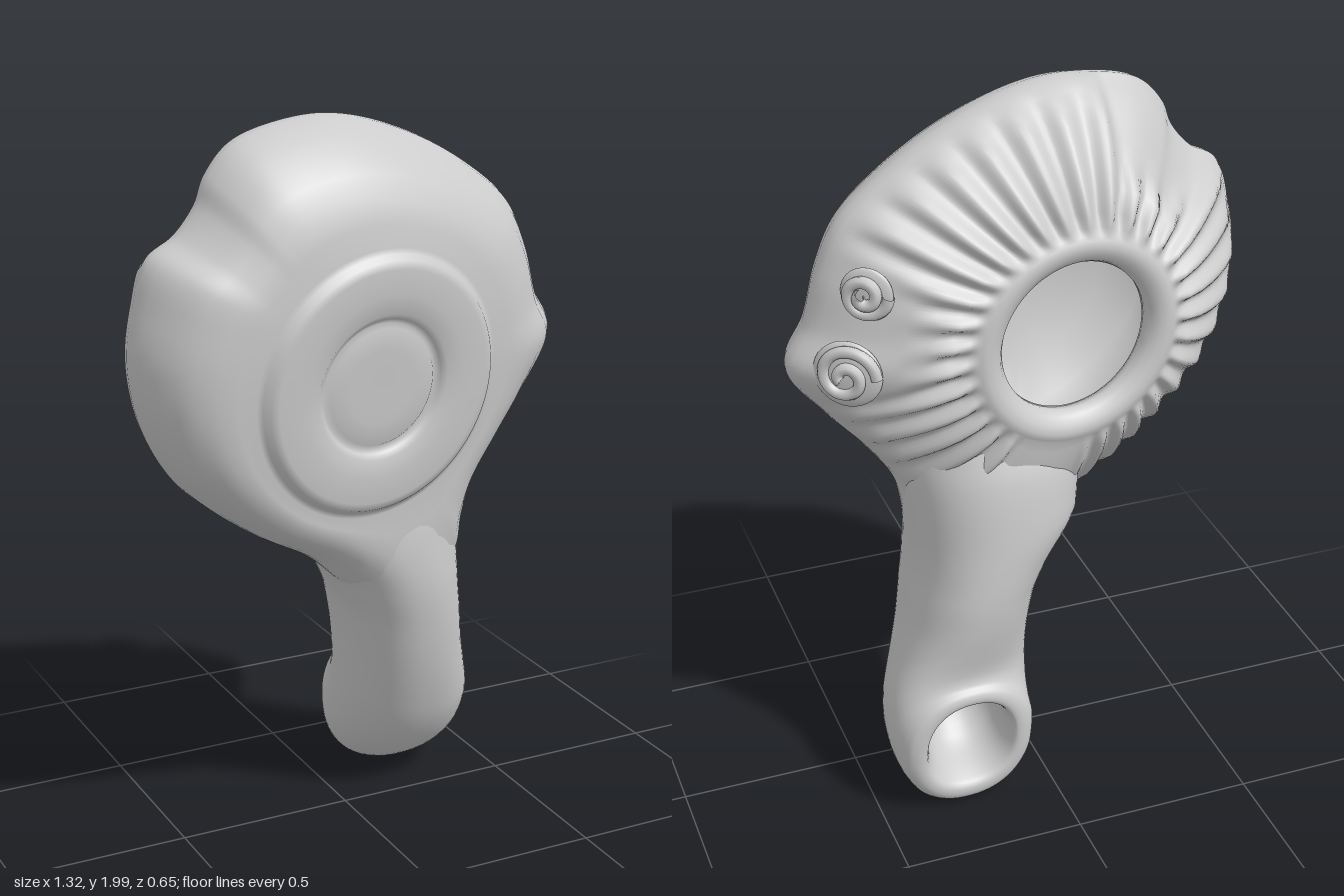
import * as THREE from 'three';

const mat = new THREE.MeshStandardMaterial({ color: 0xcccccc, side: THREE.DoubleSide });
const SEG = 360;
const lerp = THREE.MathUtils.lerp;
const smooth = THREE.MathUtils.smoothstep;

// Skin a list of closed rings, each with the same number of points
function loft(rings, name) {
  const n = rings[0].length, pos = [], idx = [];
  for (const ring of rings) for (const p of ring) pos.push(p.x, p.y, p.z);
  for (let k = 0; k + 1 < rings.length; k++) {
    for (let i = 0; i < n; i++) {
      const j = (i + 1) % n;
      const a = k * n + i, b = (k + 1) * n + i, c = (k + 1) * n + j, d = k * n + j;
      idx.push(a, b, c, a, c, d);
    }
  }
  const g = new THREE.BufferGeometry();
  g.setAttribute('position', new THREE.Float32BufferAttribute(pos, 3));
  g.setIndex(idx);
  g.computeVertexNormals();
  const m = new THREE.Mesh(g, mat);
  m.name = name;
  return m;
}

// Worn outline of the reservoir: side lug, chipped shoulder, and a tongue that runs into the spout
const outline = new THREE.CatmullRomCurve3([
  [0.655, 1.35], [0.6, 1.46], [0.56, 1.6], [0.5, 1.72], [0.38, 1.82], [0.2, 1.92], [0, 1.985],
  [-0.15, 1.995], [-0.35, 1.95], [-0.43, 1.87], [-0.46, 1.8], [-0.52, 1.73], [-0.6, 1.68],
  [-0.64, 1.56], [-0.66, 1.42], [-0.63, 1.25], [-0.55, 1.1], [-0.45, 1.0], [-0.3, 0.89],
  [-0.13, 0.79], [-0.01, 0.68], [0.1, 0.59], [0.25, 0.59], [0.33, 0.7], [0.34, 0.82],
  [0.37, 0.95], [0.45, 1.07], [0.55, 1.19],
].map(([x, y]) => new THREE.Vector3(x, y, 0)), true, 'centripetal').getSpacedPoints(SEG).slice(0, SEG);

const foot = [-0.02, 1.315], mouth = [-0.07, 1.385];

// A point between a circle (centre c, radius r) and the outline, on the tilted body
function shellPoint(P, c, r, t, z, rib) {
  const a = Math.atan2(P.y - foot[1], P.x - foot[0]);
  const x = lerp(c[0] + r * Math.cos(a), P.x, t);
  const y = lerp(c[1] + r * Math.sin(a), P.y, t);
  let dz = -0.13 * x + (c === foot ? 0.1 * (y - 1.32) * (1 - t) : 0);
  if (rib) {
    // ribs fade out at the scrolls and the spout; a chip wears away the shoulder
    const plain = smooth(Math.hypot(x - 0.52, y - 1.47), 0.16, 0.26) * smooth(P.y, 0.68, 0.85);
    const chip = smooth(-x, 0.2, 0.24) * smooth(y, 1.64, 1.68) * smooth(t, 0.35, 0.4);
    dz += 0.03 * chip - 0.015 * rib * plain * (1 - chip) * Math.cos(34 * a);
  }
  return new THREE.Vector3(x, y, z + dz);
}

function lampBody() {
  // centre, circle radius, blend to outline, height, rib strength
  const rows = [
    // foot disc, groove and ring
    [foot, 0, 0, 0.252], [foot, 0.1, 0, 0.253], [foot, 0.16, 0, 0.252], [foot, 0.172, 0, 0.238],
    [foot, 0.185, 0, 0.252], [foot, 0.2, 0, 0.266], [foot, 0.25, 0, 0.272], [foot, 0.32, 0, 0.272],
    [foot, 0.342, 0, 0.264], [foot, 0.355, 0, 0.245], [foot, 0.37, 0, 0.238],
  ];
  // rounded underside
  for (const [t, z] of [[0.2, 0.236], [0.4, 0.225], [0.6, 0.198], [0.75, 0.16], [0.87, 0.112], [0.95, 0.07], [0.99, 0.035], [1, 0.01]])
    rows.push([foot, 0.37, t, z]);
  // ribbed shoulder
  for (const [t, z] of [[0.98, -0.02], [0.93, -0.05], [0.85, -0.088], [0.75, -0.122], [0.62, -0.16], [0.48, -0.196], [0.32, -0.23], [0.16, -0.254], [0.06, -0.264]])
    rows.push([mouth, 0.29, t, z, smooth(1 - t, 0.02, 0.2) * smooth(t, 0, 0.14)]);
  // filling mouth rim and hollow inside
  rows.push(
    [mouth, 0.29, 0, -0.27], [mouth, 0.28, 0, -0.278], [mouth, 0.262, 0, -0.283], [mouth, 0.24, 0, -0.278],
    [mouth, 0.22, 0, -0.263], [mouth, 0.208, 0, -0.24], [mouth, 0.21, 0, -0.215], [mouth, 0.26, 0, -0.19],
    [mouth, 0.29, 0.25, -0.13], [mouth, 0.29, 0.4, -0.02], [mouth, 0.27, 0.3, 0.09], [mouth, 0.25, 0, 0.15],
    [mouth, 0.12, 0, 0.175], [mouth, 0, 0, 0.18]);
  return loft(rows.map(([c, r, t, z, rib]) => outline.map(P => shellPoint(P, c, r, t, z, rib))), 'lampBody');
}

// Spout: rings that swing from level to facing backward, then fold into the wick hole
function spout() {
  // front y, front z, back y, back z, left x, right x
  const keys = [
    [1.0, 0.15, 1.1, -0.25, -0.1, 0.34], [0.93, 0.178, 1.0, -0.285, -0.14, 0.35],
    [0.83, 0.19, 0.85, -0.308, -0.13, 0.345], [0.7, 0.185, 0.73, -0.318, -0.045, 0.345],
    [0.58, 0.165, 0.65, -0.32, 0, 0.36], [0.45, 0.135, 0.57, -0.314, 0.02, 0.38],
    [0.33, 0.095, 0.5, -0.303, 0.03, 0.41], [0.22, 0.045, 0.45, -0.295, 0.035, 0.44],
    [0.12, -0.03, 0.42, -0.294, 0.04, 0.455], [0.05, -0.12, 0.4, -0.3, 0.045, 0.455],
    [0.01, -0.21, 0.39, -0.308, 0.05, 0.445], [0.005, -0.27, 0.38, -0.316, 0.065, 0.43],
    [0.025, -0.298, 0.365, -0.32, 0.09, 0.405], [0.06, -0.3, 0.35, -0.315, 0.115, 0.38],
    [0.085, -0.26, 0.345, -0.27, 0.13, 0.365], [0.13, -0.16, 0.38, -0.2, 0.14, 0.35],
    [0.24, -0.08, 0.42, -0.16, 0.17, 0.32], [0.34, -0.1, 0.34, -0.1, 0.25, 0.25],
  ];
  // smooth each pair of rims along the path
  const path = (i, j) => new THREE.CatmullRomCurve3(keys.map(k => new THREE.Vector3(k[i], k[j], 0)));
  const front = path(0, 1), back = path(2, 3), sides = path(4, 5);
  const rings = [], steps = 68, n = 64;
  const soft = v => Math.sign(v) * Math.pow(Math.abs(v), 0.9);
  for (let s = 0; s <= steps; s++) {
    const f = front.getPoint(s / steps), b = back.getPoint(s / steps), w = sides.getPoint(s / steps);
    const cx = (w.x + w.y) / 2, hw = (w.y - w.x) / 2, ring = [];
    for (let i = 0; i < n; i++) {
      const a = i / n * Math.PI * 2, u = (soft(Math.cos(a)) + 1) / 2, v = soft(Math.sin(a));
      ring.push(new THREE.Vector3(cx + hw * v, lerp(b.x, f.x, u), lerp(b.y, f.y, u) - 0.05 * hw * v));
    }
    rings.push(ring);
  }
  return loft(rings, 'spout');
}

// Spiral scroll lying on a small domed pad
function volute(x, y, z, r, turn) {
  const g = new THREE.Group();
  g.name = 'volute';
  const pts = [];
  for (let i = 0; i <= 36; i++) {
    const k = i / 36, a = turn * k * Math.PI * 3.2;
    const d = lerp(r, 0.012, k);
    pts.push(new THREE.Vector3(d * Math.cos(a), d * Math.sin(a), 0.012 + 0.018 * k));
  }
  const scroll = new THREE.Mesh(new THREE.TubeGeometry(new THREE.CatmullRomCurve3(pts), 80, 0.016, 8), mat);
  scroll.name = 'scroll';
  const pad = new THREE.Mesh(new THREE.SphereGeometry(r * 1.15, 28, 16), mat);
  pad.scale.z = 0.25;
  pad.name = 'scrollPad';
  g.add(pad, scroll);
  g.position.set(x, y, z);
  g.lookAt(x + 0.55, y, z - 0.8);
  return g;
}

export function createModel() {
  const lamp = new THREE.Group();
  lamp.name = 'oilLamp';
  lamp.add(lampBody(), spout(),
    volute(0.525, 1.37, -0.195, 0.08, 1),
    volute(0.465, 1.58, -0.185, 0.06, -1));
  return lamp;
}
